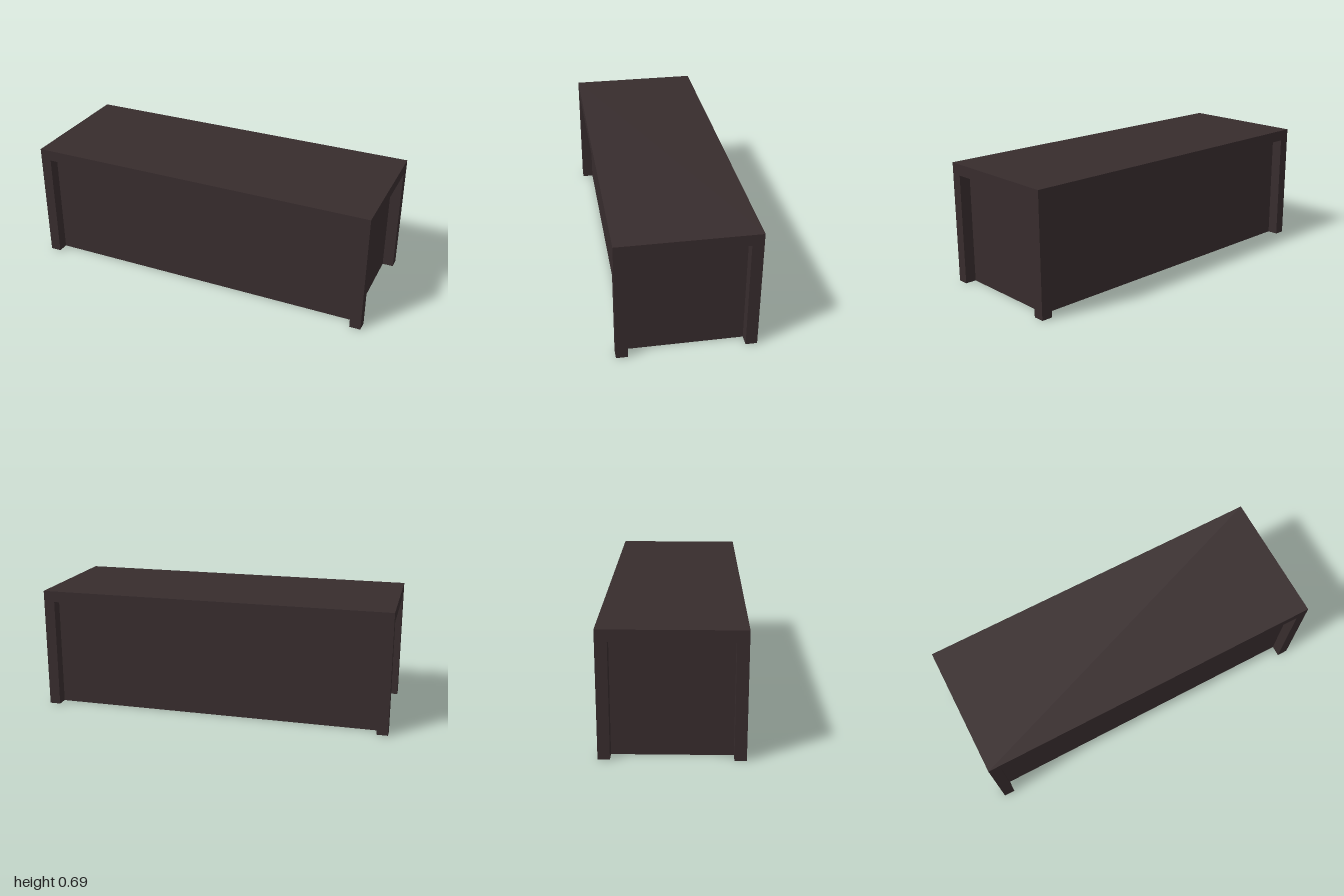
import * as THREE from 'three';

const LENGTH = 2, HEIGHT = 0.6875, DEPTH = 0.75, POST = 0.0625;

export function createModel() {
  const model = new THREE.Group();
  model.name = 'bench';

  const darkWood = new THREE.MeshStandardMaterial({ color: 0x372c2d });
  darkWood.name = 'dark wood';

  // Box standing on the given base height
  const addBox = (name, w, h, d, x, base, z) => {
    const mesh = new THREE.Mesh(new THREE.BoxGeometry(w, h, d), darkWood);
    mesh.name = name;
    mesh.position.set(x, base + h / 2, z);
    model.add(mesh);
  };

  const legHeight = HEIGHT - POST;

  // Top slab spanning the whole footprint
  addBox('top', LENGTH, POST, DEPTH, 0, legHeight, 0);

  // Closed body, set back from the legs on all four sides
  addBox('body', LENGTH - 2 * POST, legHeight, DEPTH - 2 * POST, 0, 0, 0);

  // Square corner legs
  for (const [side, sx] of [['Left', 1], ['Right', -1]]) {
    for (const [end, sz] of [['front', 1], ['back', -1]]) {
      addBox(`${end}${side}Leg`, POST, legHeight, POST,
        sx * (LENGTH - POST) / 2, 0, sz * (DEPTH - POST) / 2);
    }
  }

  return model;
}
